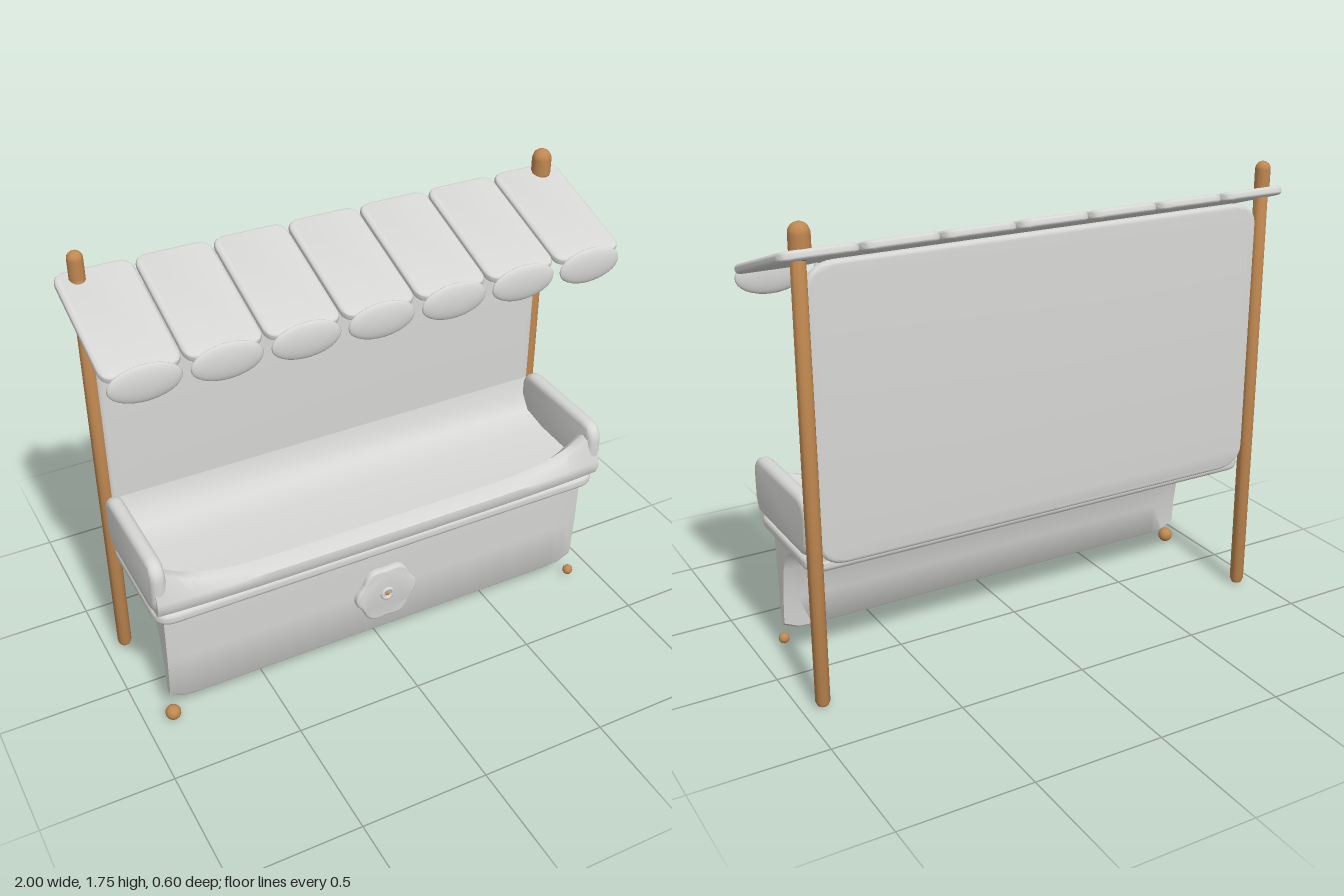
import * as THREE from 'three';
import { toCreasedNormals } from 'three/addons/utils/BufferGeometryUtils.js';

const cloth = new THREE.MeshStandardMaterial({ name: 'pale grey', color: 0xd6d6d4 });
const wood = new THREE.MeshStandardMaterial({ name: 'warm wood', color: 0xc08850 });

function add(parent, name, geo, mat, x = 0, y = 0, z = 0) {
  const m = new THREE.Mesh(geo, mat);
  m.name = name;
  m.position.set(x, y, z);
  parent.add(m);
  return m;
}

// Soft slab: rounded rectangle in xy with a bevelled rim, centred on the origin
function pad(w, h, d, r, b) {
  const X = w / 2 - b, Y = h / 2 - b, s = new THREE.Shape();
  s.moveTo(-X + r, -Y);
  s.lineTo(X - r, -Y); s.quadraticCurveTo(X, -Y, X, -Y + r);
  s.lineTo(X, Y - r); s.quadraticCurveTo(X, Y, X - r, Y);
  s.lineTo(-X + r, Y); s.quadraticCurveTo(-X, Y, -X, Y - r);
  s.lineTo(-X, -Y + r); s.quadraticCurveTo(-X, -Y, -X + r, -Y);
  return soften(s, d, b);
}

function soften(shape, d, b) {
  const g = new THREE.ExtrudeGeometry(shape, {
    depth: d - 2 * b, bevelEnabled: true, bevelThickness: b, bevelSize: b,
    bevelSegments: 4, curveSegments: 8,
  });
  g.translate(0, 0, b - d / 2);
  return toCreasedNormals(g, 0.7);
}

// Loft of closed [z, y] sections along x; point j pairs with point n-1-j across the end caps
function loft(half, steps, section) {
  const pos = [], idx = [];
  let n = 0;
  for (let i = 0; i <= steps; i++) {
    const x = -half + (2 * half * i) / steps, ring = section(x);
    n = ring.length;
    for (const [z, y] of ring) pos.push(x, y, z);
  }
  for (let i = 0; i < steps; i++) {
    for (let j = 0; j < n; j++) {
      const k = (j + 1) % n, a = i * n, c = a + n;
      idx.push(a + j, a + k, c + k, a + j, c + k, c + j);
    }
  }
  const e = steps * n;
  for (let j = 0; j < n / 2 - 1; j++) {
    const p = n - 1 - j, q = n - 2 - j;
    idx.push(e + j, e + j + 1, e + q, e + j, e + q, e + p);
    idx.push(j, q, j + 1, j, p, q);
  }
  const g = new THREE.BufferGeometry();
  g.setAttribute('position', new THREE.Float32BufferAttribute(pos, 3));
  g.setIndex(idx);
  return toCreasedNormals(g, 0.9);
}

export function createModel() {
  const root = new THREE.Group();
  root.name = 'marketStall';

  // Posts with rounded knobs
  const lathePts = [[0, 0.01], [0.02, 0.013], [0.027, 0.03], [0.028, 0.9], [0.026, 1.66], [0, 1.7]]
    .map(([r, y]) => new THREE.Vector2(r, y));
  const postGeo = toCreasedNormals(new THREE.LatheGeometry(lathePts, 14), 0.9);
  for (const [x, r, h] of [[-0.922, 0.029, 1.76], [0.922, 0.037, 1.75]]) {
    add(root, 'post', postGeo, wood, x, 0, -0.245);
    add(root, 'postKnob', new THREE.CapsuleGeometry(r, h - 1.62 - 2 * r, 6, 12), wood,
      x + (x > 0 ? -0.007 : 0), (h + 1.62) / 2, -0.248);
  }

  // Small feet under the front panel
  for (const [x, r] of [[-0.895, 0.03], [0.885, 0.021]]) {
    add(root, 'foot', new THREE.SphereGeometry(r, 12, 8), wood, x, 0.035, 0.22);
  }

  // Back panel
  add(root, 'backPanel', pad(1.82, 1.07, 0.036, 0.1, 0.016), cloth, 0, 1.075, -0.233);

  // Canopy slats with drooping rounded flaps
  const canopy = new THREE.Group();
  canopy.name = 'canopy';
  root.add(canopy);
  const slatGeo = pad(0.28, 0.5, 0.034, 0.035, 0.015);
  const flapGeo = new THREE.SphereGeometry(1, 24, 16);
  for (let i = -3; i <= 3; i++) {
    const x = i * 0.2865;
    add(canopy, 'slat', slatGeo, cloth, x, 1.58, -0.06).rotation.x = -1.259;
    add(canopy, 'flap', flapGeo, cloth, x, 1.472, 0.18).scale.set(0.13, 0.069, 0.02);
  }

  // Counter: lower lip, floor curving up to the back, side walls, front rim
  const lip = add(root, 'counterLip', pad(1.87, 0.495, 0.054, 0.05, 0.022), cloth, 0, 0.533, 0.028);
  lip.rotation.x = -Math.PI / 2;

  add(root, 'counterFloor', loft(0.9, 1, () => [
    [-0.217, 0.76], [-0.2, 0.68], [-0.16, 0.625], [-0.05, 0.605], [0.25, 0.6],
    [0.25, 0.55], [-0.05, 0.55], [-0.16, 0.55], [-0.2, 0.55], [-0.217, 0.55],
  ]), cloth);

  const wallGeo = pad(0.495, 0.225, 0.058, 0.05, 0.024);
  for (const s of [-1, 1]) {
    add(root, 'sideWall', wallGeo, cloth, s * 0.912, 0.676, 0.028).rotation.y = Math.PI / 2;
  }

  add(root, 'frontRim', loft(0.93, 40, (x) => {
    const t = Math.pow(Math.max(0, Math.abs(x) - 0.3) / 0.63, 4);
    const top = 0.645 + 0.12 * t, f = 0.02 * Math.pow(Math.abs(x), 4), d = 0.05 * t;
    return [
      [0.2 - d, 0.59], [0.215 - d, top - 0.03], [0.235 - f, top], [0.268 - f, top - 0.008],
      [0.297 - f, 0.625], [0.3 - f, 0.6], [0.285 - f, 0.566], [0.2 - d, 0.565],
    ];
  }), cloth);

  // Front panel flaring back under the counter, thinner towards its ends
  add(root, 'frontPanel', loft(0.895, 32, (x) => {
    const a = Math.abs(x), e = 0.03 * Math.max(0, (a - 0.83) / 0.065), d = 0.035 * a ** 6;
    return [
      [-0.2, 0.515], [0, 0.515], [0.18, 0.515], [0.235 - e / 2, 0.5], [0.232 - e / 2, 0.3],
      [0.222 - e / 2, 0.1 + e], [0.2, 0.075 + e], [0.178, 0.09 + e],
      [0.165 + d / 3, 0.22], [0.13 + d, 0.36], [0.1 + d, 0.43], [0.05 + d, 0.45 + d / 2],
      [0, 0.465 + d], [-0.2, 0.505],
    ];
  }), cloth);

  // Six-petalled flower with a ringed centre
  const flower = new THREE.Group();
  flower.name = 'flower';
  flower.position.set(-0.003, 0.29, 0.236);
  root.add(flower);
  const petals = [];
  for (let i = 0; i < 72; i++) {
    const a = (i / 72) * Math.PI * 2, r = 0.113 + 0.007 * Math.cos(6 * a);
    petals.push(new THREE.Vector2(r * Math.cos(a), r * Math.sin(a)));
  }
  add(flower, 'petals', soften(new THREE.Shape(petals), 0.036, 0.013), cloth);
  add(flower, 'centreRing', new THREE.TorusGeometry(0.022, 0.008, 8, 24), cloth, 0, 0, 0.018);
  add(flower, 'centreBead', new THREE.SphereGeometry(0.01, 10, 8), wood, 0, 0, 0.016);

  return root;
}
